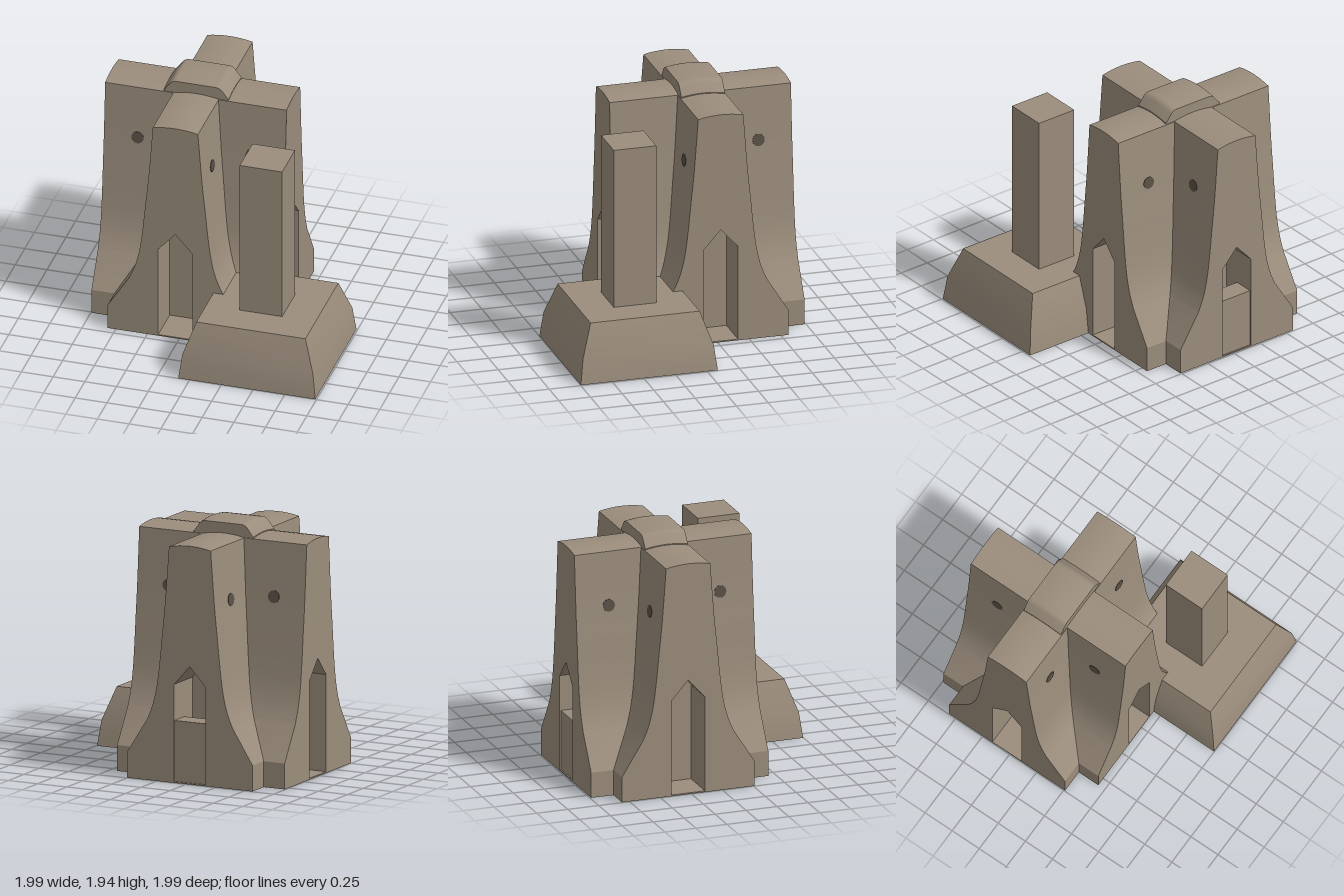
import * as THREE from 'three';
import { toCreasedNormals } from 'three/addons/utils/BufferGeometryUtils.js';

const stone = new THREE.MeshStandardMaterial({ color: 0x9b8d7c });
stone.name = 'stone';
const hollow = new THREE.MeshStandardMaterial({ color: 0x5a5147 });
hollow.name = 'dark hollow';

const HALF = 0.715;   // half length of each arm pair
const DEPTH = 0.3;    // depth of the doorway recesses
const DOOR = 0.135;   // half width of a doorway

function add(parent, name, geo, x = 0, y = 0, z = 0, mat = stone) {
  const mesh = new THREE.Mesh(geo, mat);
  mesh.name = name;
  mesh.position.set(x, y, z);
  parent.add(mesh);
  return mesh;
}

// flared half profile: vertical foot, sloped skirt, then a long taper
const flare = new THREE.SplineCurve([
  [0.365, 0.47], [0.32, 0.58], [0.285, 0.72], [0.26, 0.9], [0.235, 1.15], [0.21, 1.4], [0.178, 1.82],
].map(p => new THREE.Vector2(...p))).getPoints(24);
const side = [new THREE.Vector2(0.535, 0), new THREE.Vector2(0.535, 0.2), ...flare];

// full wall outline, optionally narrowed at the foot or notched by a doorway
function wallShape(limitLeft, limitRight, door) {
  const s = new THREE.Shape();
  s.moveTo(-Math.min(limitLeft, 0.535), 0);
  if (door) {
    s.lineTo(-DOOR, 0);
    s.lineTo(-DOOR, 0.76);
    s.lineTo(0, 0.91);
    s.lineTo(DOOR, 0.76);
    s.lineTo(DOOR, 0);
  }
  for (const p of side) s.lineTo(Math.min(p.x, limitRight), p.y);
  s.quadraticCurveTo(0, 1.86, -0.178, 1.82);
  for (const p of [...side].reverse().slice(1)) s.lineTo(-Math.min(p.x, limitLeft), p.y);
  return s;
}

function extrude(shape, from, to, steps = 1) {
  const g = new THREE.ExtrudeGeometry(shape, { depth: to - from, bevelEnabled: false, steps, curveSegments: 8 });
  g.translate(0, 0, from);
  return g;
}

// one of the two crossing walls, running along its own z
function makeWall(name, limitLeft, limitRight) {
  const wall = new THREE.Group();
  wall.name = name;
  const inner = HALF - DEPTH, core = DOOR + 0.002;
  const plain = wallShape(9, 9, false), arch = wallShape(9, 9, true);
  const put = (n, shape, a, b) => add(wall, n, toCreasedNormals(extrude(shape, a, b), 0.45));
  put('wallCore', wallShape(limitLeft, limitRight, false), -core, core);
  for (const s of [-1, 1]) {
    const span = (a, b) => (s > 0 ? [a, b] : [-b, -a]);
    put('wallMiddle', plain, ...span(core, inner));
    put('wallEnd', arch, ...span(inner, HALF));
    add(wall, 'doorwayFloor', new THREE.BoxGeometry(DOOR * 2, 0.01, DEPTH), 0, 0.005, s * (HALF - DEPTH / 2));
    // round sockets high on both flanks
    for (const t of [-1, 1]) {
      const socket = add(wall, 'socket', new THREE.CylinderGeometry(0.048, 0.048, 0.008, 24), t * 0.21, 1.4, s * 0.45, hollow);
      socket.rotation.z = -t * (Math.PI / 2 - 0.08);
    }
  }
  return wall;
}

export function createModel() {
  const model = new THREE.Group();
  model.name = 'tower';

  // crossing walls
  const tower = new THREE.Group();
  tower.name = 'crossTower';
  tower.position.set(-0.28, 0, -0.275);
  model.add(tower);
  tower.add(makeWall('lengthWall', 0.4, 0.4));
  const cross = makeWall('crossWall', 0.4, 9);
  cross.rotation.y = Math.PI / 2;
  tower.add(cross);

  // low block closing the rear doorway
  add(tower, 'doorwayBlock', new THREE.BoxGeometry(DOOR * 2, 0.48, 0.16), 0, 0.24, -HALF + 0.09);

  // raised cap over the crossing, gently domed across
  const cap = new THREE.Shape();
  cap.moveTo(-0.255, 1.79);
  cap.lineTo(0.255, 1.79);
  cap.lineTo(0.255, 1.83);
  cap.lineTo(0.205, 1.895);
  cap.quadraticCurveTo(0.185, 1.92, 0.15, 1.92);
  cap.lineTo(-0.15, 1.92);
  cap.quadraticCurveTo(-0.185, 1.92, -0.205, 1.895);
  cap.lineTo(-0.255, 1.83);
  const capGeo = extrude(cap, -0.172, 0.172, 8);
  const p = capGeo.attributes.position;
  for (let i = 0; i < p.count; i++) {
    if (p.getY(i) > 1.8) p.setY(i, p.getY(i) + 0.017 * (1 - (p.getZ(i) / 0.172) ** 2));
  }
  add(tower, 'crossingCap', toCreasedNormals(capGeo, 0.45));

  // square plinth with sloped flanks
  const profile = [[0, 0], [0.54, 0], [0.515, 0.2], [0.43, 0.45], [0, 0.45]]
    .map(([r, y]) => new THREE.Vector2(r * Math.SQRT2, y));
  const plinth = new THREE.LatheGeometry(profile, 4, Math.PI / 4);
  add(model, 'plinth', toCreasedNormals(plinth, 0.3), 0.45, 0, 0.457);

  // square pillar on the plinth
  add(model, 'pillar', new THREE.BoxGeometry(0.335, 1.28, 0.335), 0.45, 1.08, 0.457);

  return model;
}
